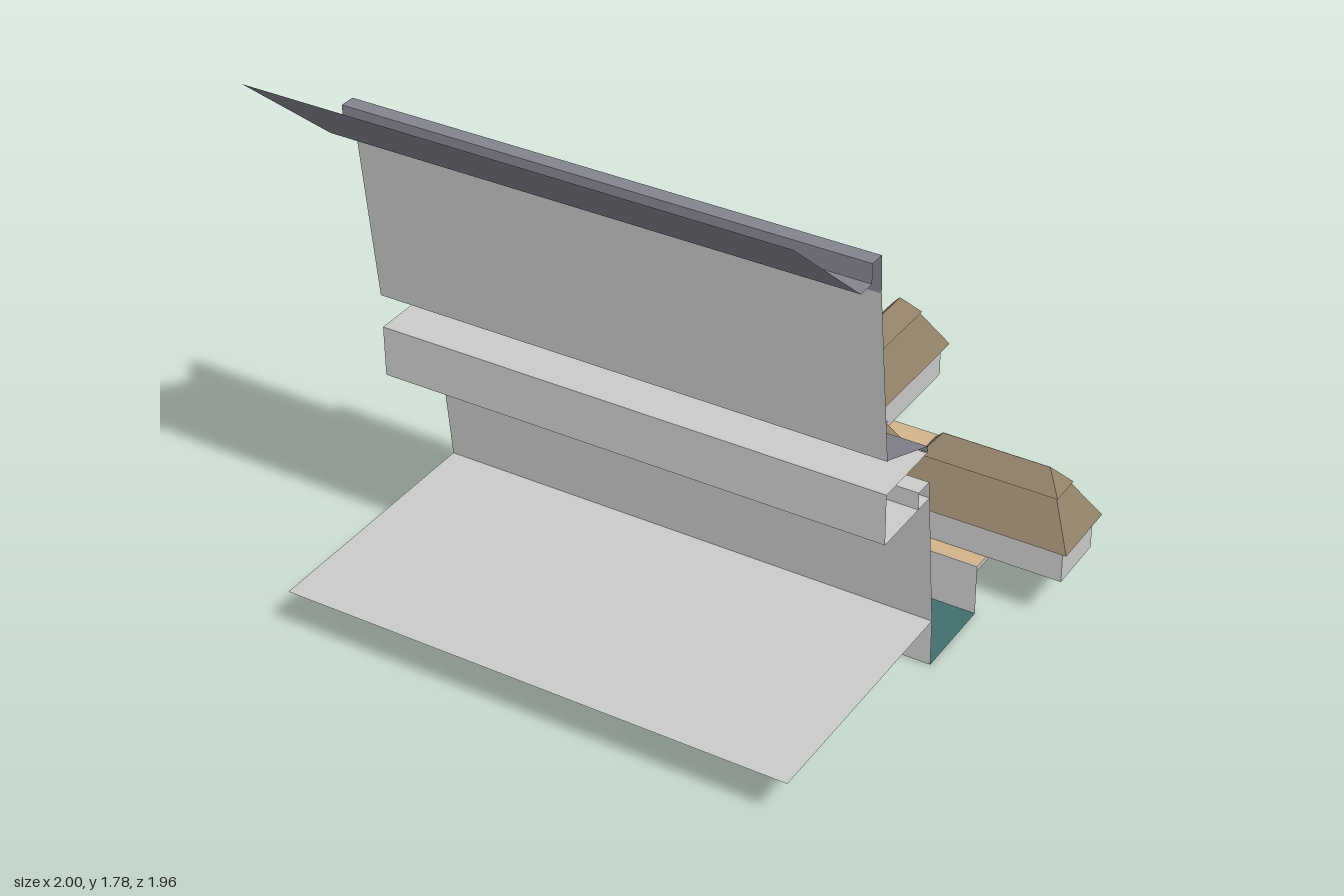
import * as THREE from 'three';

const mat = (color) => new THREE.MeshStandardMaterial({ color, flatShading: true, side: THREE.DoubleSide });
const GREY = mat(0xcccccc), SLATE = mat(0x84848f), THATCH = mat(0x93836a);
const SAND = mat(0xd2b48c), WATER = mat(0x40706f), WOOD = mat(0x8b7355);

function add(parent, name, geometry, material) {
  const mesh = new THREE.Mesh(geometry, material);
  mesh.name = name;
  parent.add(mesh);
  return mesh;
}

// Box given by its limits on each axis
function block(parent, name, material, [x0, x1], [y0, y1], [z0, z1]) {
  const g = new THREE.BoxGeometry(x1 - x0, y1 - y0, z1 - z0);
  g.translate((x0 + x1) / 2, (y0 + y1) / 2, (z0 + z1) / 2);
  return add(parent, name, g, material);
}

// Thin sheet: a profile of [a, y] points swept from b0 to b1.
// place(a, y, b) turns a profile point into a position.
function sheet(parent, name, material, profile, b0, b1, place = (a, y, b) => [b, y, a]) {
  const pos = [];
  for (let i = 0; i < profile.length - 1; i++) {
    const [p, q] = [profile[i], profile[i + 1]];
    const A = place(...p, b0), B = place(...p, b1), C = place(...q, b1), D = place(...q, b0);
    pos.push(...A, ...B, ...C, ...A, ...C, ...D);
  }
  const g = new THREE.BufferGeometry();
  g.setAttribute('position', new THREE.Float32BufferAttribute(pos, 3));
  g.computeVertexNormals();
  return add(parent, name, g, material);
}

// Box whose top is drawn in by the same amount on all four sides
function taper(parent, name, material, w, d, y0, y1, inset) {
  const g = new THREE.BoxGeometry(w, y1 - y0, d).toNonIndexed();
  g.translate(0, (y0 + y1) / 2, 0);
  const p = g.attributes.position;
  for (let i = 0; i < p.count; i++) {
    if (p.getY(i) < y1 - 1e-4) continue;
    p.setX(i, p.getX(i) - Math.sign(p.getX(i)) * inset);
    p.setZ(i, p.getZ(i) - Math.sign(p.getZ(i)) * inset);
  }
  g.computeVertexNormals();
  return add(parent, name, g, material);
}

// House with a two-stage hipped roof
function hipHouse(parent, name, [x0, x1], [z0, z1]) {
  const house = new THREE.Group();
  const w = x1 - x0, d = z1 - z0, half = Math.min(w, d) / 2;
  house.name = name;
  house.position.set((x0 + x1) / 2, 0, (z0 + z1) / 2);
  block(house, 'houseBody', GREY, [-w / 2 + 0.02, w / 2 - 0.02], [0.17, 0.285], [-d / 2 + 0.02, d / 2 - 0.02]);
  taper(house, 'lowerRoof', THATCH, w, d, 0.28, 0.412, half - 0.045);
  const cut = 2 * (half - 0.052);
  taper(house, 'upperRoof', THATCH, w - cut, d - cut, 0.412, 0.475, 0.0515);
  parent.add(house);
}

export function createModel() {
  const model = new THREE.Group();
  model.name = 'cliffTerraceAndHouses';
  const L = -0.9, R = 0.74;

  // Ground, channel and leaning walls
  sheet(model, 'frontGround', GREY, [[0.16, 0.155], [0.975, 0.155]], L, R);
  sheet(model, 'water', WATER, [[-0.118, 0], [0.16, 0]], L, R);
  sheet(model, 'quayWall', GREY, [[-0.118, 0], [-0.118, 0.155]], L, R);
  sheet(model, 'lowerWall', GREY, [[0.16, 0], [0.16, 0.155], [0.21, 0.66]], L, R);
  sheet(model, 'upperWall', GREY, [[0.46, 0.875], [0.52, 1.425]], L, R);

  // Gallery between the walls
  sheet(model, 'gallery', GREY, [[0.205, 0.605], [0.46, 0.605], [0.46, 0.768], [0.23, 0.768]], L, R);
  sheet(model, 'galleryLedge', GREY, [[0.21, 0.66], [0.27, 0.66], [0.27, 0.605]], L, R);
  for (let i = 0; i < 10; i++) {
    const x = 0.6 - i * 0.163;
    block(model, 'galleryPost', WOOD, [x - 0.006, x + 0.006], [0.66, 0.768], [0.246, 0.258]);
  }

  // Slate roofs
  sheet(model, 'galleryRoof', SLATE, [[0.227, 0.768], [0.227, 0.788], [0.46, 0.878]], L, R);
  sheet(model, 'topRoof', SLATE,
    [[0.52, 1.425], [0.525, 1.54], [0.573, 1.54], [0.573, 1.48], [0.63, 1.48], [0.975, 1.785]], L, R);

  // Village platform and low dividing wall
  block(model, 'platform', GREY, [L, R], [0.152, 0.168], [-0.66, -0.118]);
  sheet(model, 'platformTop', SAND, [[-0.66, 0.17], [-0.118, 0.17]], L, R);
  block(model, 'dividingWall', SAND, [-0.085, -0.07], [0.168, 0.23], [-0.66, -0.118]);

  // Hipped houses
  hipHouse(model, 'rightHouse', [-1, -0.425], [-0.39, -0.152]);
  hipHouse(model, 'middleHouse', [-0.083, 0.4], [-0.39, -0.152]);
  hipHouse(model, 'leftHouse', [0.42, 1], [-0.39, -0.152]);
  hipHouse(model, 'backHouse', [-0.04, 0.197], [-0.983, -0.41]);

  // Long gabled house with a porch at the back
  const hall = new THREE.Group();
  hall.name = 'longHouse';
  hall.position.x = -0.214;
  const alongZ = (a, y, b) => [a, y, b];
  for (const s of [-1, 1]) {
    sheet(hall, 'lowerRoof', THATCH, [[s * 0.132, 0.28], [s * 0.045, 0.412]], -0.8, -0.147, alongZ);
    sheet(hall, 'upperRoof', THATCH, [[s * 0.045, 0.412], [s * 0.052, 0.412], [0, 0.477]], -0.8, -0.147, alongZ);
    block(hall, 'porchPost', WOOD, [s * 0.105 - 0.007, s * 0.105 + 0.007], [0.155, 0.31], [-0.787, -0.773]);
  }
  const gable = new THREE.Shape([[-0.11, 0.17], [0.11, 0.17], [0.11, 0.29], [0.042, 0.408], [0, 0.465],
    [-0.042, 0.408], [-0.11, 0.29]].map((p) => new THREE.Vector2(...p)));
  const body = new THREE.ExtrudeGeometry(gable, { depth: 0.54, bevelEnabled: false });
  body.translate(0, 0, -0.71);
  add(hall, 'houseBody', body, GREY);
  model.add(hall);

  return model;
}
